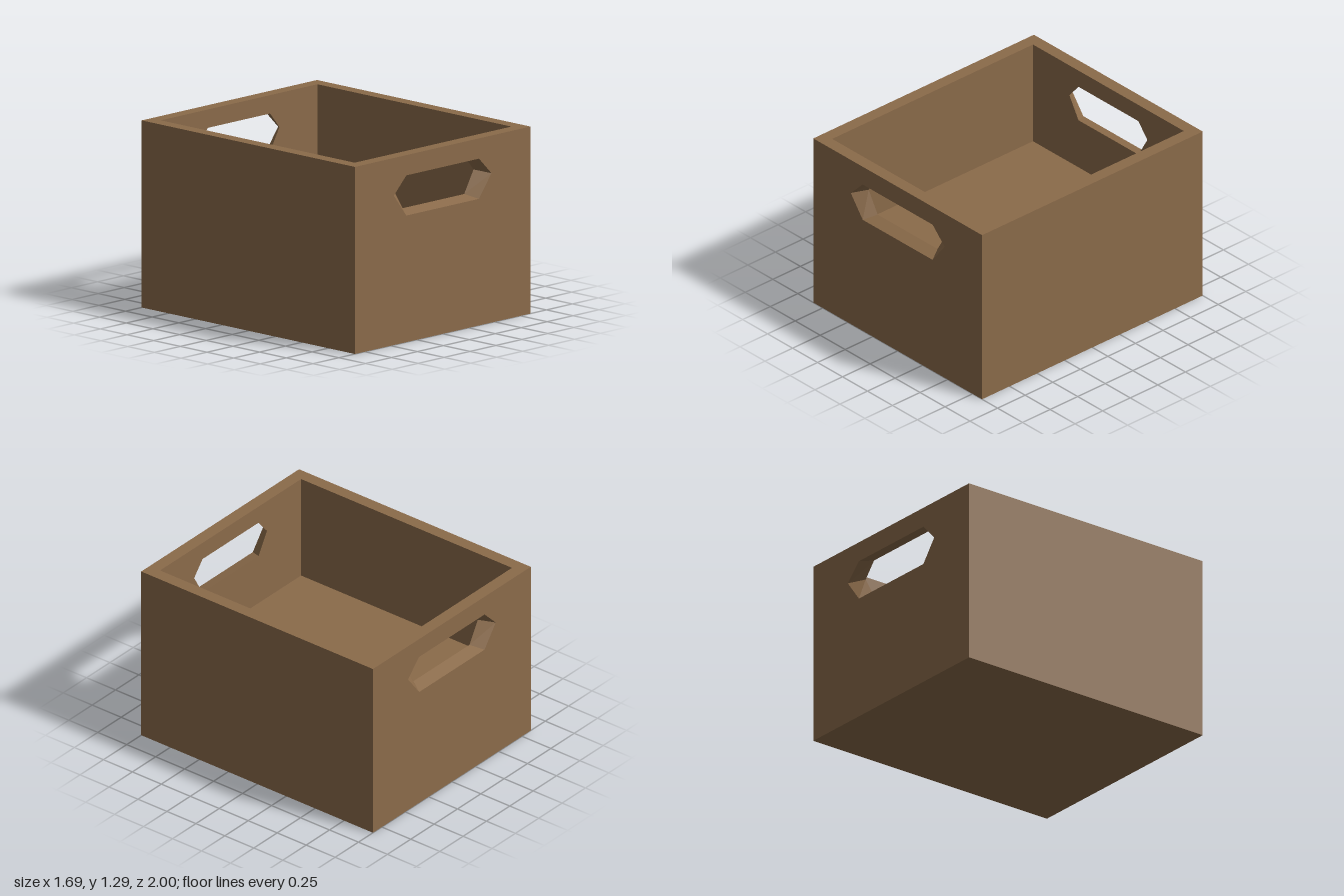
import * as THREE from 'three';

const W = 1.69, H = 1.29, D = 2, T = 0.09, FLOOR = 0.53;

// Right half of each handle opening, from top to bottom
const OUTER = [[0.35, 1.15], [0.47, 1.03], [0.35, 0.873]];
const INNER = [[0.3, 1.163], [0.39, 1.055], [0.3, 0.9]];

// Mirror a half outline into a closed loop
const loop = (half) => [...half, ...half.map(([x, y]) => [-x, y]).reverse()];

// End wall with a handle opening that narrows towards the inside
function endWallGeometry() {
  const outer = loop(OUTER), inner = loop(INNER);
  const shape = new THREE.Shape([[-W / 2, 0], [W / 2, 0], [W / 2, H], [-W / 2, H]].map(([x, y]) => new THREE.Vector2(x, y)));
  shape.holes.push(new THREE.Path(outer.map(([x, y]) => new THREE.Vector2(x, y))));
  const geometry = new THREE.ExtrudeGeometry(shape, { depth: T, bevelEnabled: false });
  const pos = geometry.attributes.position;
  for (let i = 0; i < pos.count; i++) {
    if (pos.getZ(i) > T / 2) continue;
    const k = outer.findIndex(([x, y]) => Math.hypot(x - pos.getX(i), y - pos.getY(i)) < 1e-4);
    if (k >= 0) pos.setXY(i, inner[k][0], inner[k][1]);
  }
  geometry.translate(0, 0, D / 2 - T);
  geometry.computeVertexNormals();
  return geometry;
}

export function createModel() {
  const crate = new THREE.Group();
  crate.name = 'crate';
  const wood = new THREE.MeshStandardMaterial({ color: 0x8b6b4a });
  wood.name = 'brown wood';

  const add = (name, geometry, x = 0, y = 0, z = 0) => {
    const mesh = new THREE.Mesh(geometry, wood);
    mesh.name = name;
    mesh.position.set(x, y, z);
    crate.add(mesh);
    return mesh;
  };

  // End walls with handles
  const end = endWallGeometry();
  add('frontWall', end);
  add('backWall', end).rotation.y = Math.PI;

  // Plain side walls
  const side = new THREE.BoxGeometry(T, H, D - 2 * T);
  add('leftWall', side, (W - T) / 2, H / 2);
  add('rightWall', side, -(W - T) / 2, H / 2);

  // Thick floor
  add('floor', new THREE.BoxGeometry(W - 2 * T, FLOOR, D - 2 * T), 0, FLOOR / 2);

  return crate;
}
